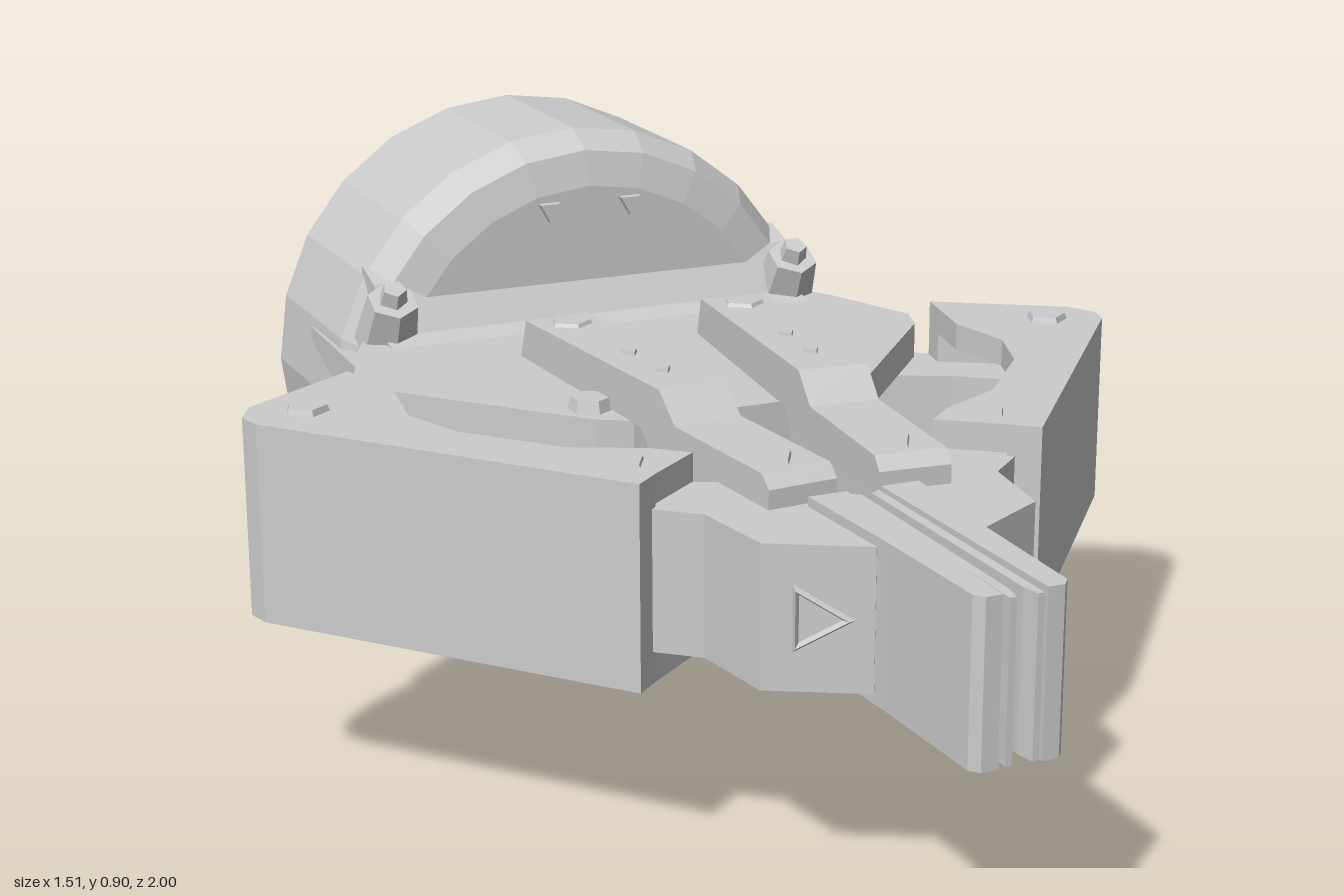
import * as THREE from 'three';

const MID = 0.45; // height of the horizontal symmetry plane
const mat = new THREE.MeshStandardMaterial({ color: 0xcccccc, flatShading: true, side: THREE.DoubleSide });

export function createModel() {
  const root = new THREE.Group();
  root.name = 'gripper';

  const add = (name, geo, parent = root) => {
    const mesh = new THREE.Mesh(geo, mat);
    mesh.name = name;
    parent.add(mesh);
    return mesh;
  };
  // horizontal slab from an [x, z] outline, mirrored in x when s = -1
  const slab = (name, pts, y0, y1, parent, s = 1) => {
    const shape = new THREE.Shape(pts.map(([x, z]) => new THREE.Vector2(x * s, -z)));
    const geo = new THREE.ExtrudeGeometry(shape, { depth: y1 - y0, bevelEnabled: false });
    geo.rotateX(-Math.PI / 2).translate(0, y0, 0);
    return add(name, geo, parent);
  };
  // the same slab above and below the symmetry plane
  const slabPair = (name, pts, lo, hi, parent, s = 1) => {
    slab(name + 'Upper', pts, MID + lo, MID + hi, parent, s);
    slab(name + 'Lower', pts, MID - hi, MID - lo, parent, s);
  };
  const bolt = (name, r, h, sides, x, y, z, parent) => {
    const mesh = add(name, new THREE.CylinderGeometry(r * 0.8, r, h, sides), parent);
    mesh.position.set(x, y, z);
    return mesh;
  };
  const both = (outline) => [...outline, ...outline.map(([x, z]) => [-x, z]).reverse()];

  // round motor housing with rounded front edge and dished back
  const profile = [
    [0, -0.52], [0.36, -0.52], [0.42, -0.535], [0.45, -0.59], [0.45, -0.92],
    [0.435, -0.955], [0.405, -0.955], [0.395, -0.93], [0, -0.945],
  ].map(([r, z]) => new THREE.Vector2(r, z));
  const housing = add('motorHousing', new THREE.LatheGeometry(profile.reverse(), 24).rotateX(Math.PI / 2));
  housing.position.y = MID;

  // flared collar between housing and palm
  const collarProfile = new THREE.Shape([
    [-0.6, -0.24], [-0.535, -0.22], [-0.49, -0.14], [-0.4, -0.12],
    [-0.4, 0.12], [-0.49, 0.14], [-0.535, 0.22], [-0.6, 0.24],
  ].map(([z, y]) => new THREE.Vector2(z, y)));
  const collarGeo = new THREE.ExtrudeGeometry(collarProfile, { depth: 0.78, bevelEnabled: false });
  collarGeo.translate(0, MID, -0.39).rotateY(-Math.PI / 2);
  add('collar', collarGeo);
  slab('collarWaist', both([[0.44, -0.75], [0.45, -0.46], [0.4, -0.36]]), MID - 0.1, MID + 0.1);

  // palm: two plates around a narrower core
  slabPair('palmPlate', both([
    [0.4, -0.56], [0.45, -0.45], [0.51, -0.29], [0.49, -0.23], [0.23, 0.07], [0.18, 0.1],
  ]), 0.07, 0.13);
  slab('palmCore', both([[0.42, -0.56], [0.42, -0.4], [0.32, -0.2], [0.16, 0.07]]), MID - 0.1, MID + 0.1);

  // back connector slot and locating pin
  const frame = new THREE.Group();
  frame.name = 'backSocket';
  for (const s of [-1, 1]) {
    add('socketRail', new THREE.BoxGeometry(0.15, 0.012, 0.03), frame).position.set(0, s * 0.03, 0);
    add('socketEnd', new THREE.BoxGeometry(0.012, 0.06, 0.03), frame).position.set(s * 0.07, 0, 0);
  }
  frame.position.set(0.12, MID, -0.94);
  root.add(frame);
  const pin = bolt('locatingPin', 0.024, 0.08, 6, 0.37, MID, -0.96);
  pin.rotation.x = -Math.PI / 2;

  for (const s of [-1, 1]) {
    const side = new THREE.Group();
    side.name = s > 0 ? 'leftFingerAssembly' : 'rightFingerAssembly';
    root.add(side);

    // rim screws on the back, corner lugs and face screws on the front
    for (const dy of [-0.13, -0.05, 0.05, 0.13]) {
      const screw = bolt('rimScrew', 0.024, 0.03, 5, s * 0.385, MID + dy, -0.945);
      screw.rotation.x = -Math.PI / 2;
    }
    for (const v of [-1, 1]) {
      const lug = bolt('cornerLug', 0.055, 0.1, 6, s * 0.375, MID + v * 0.16, -0.505);
      lug.rotation.x = v > 0 ? 0.5 : Math.PI - 0.5;
      const cap = bolt('lugScrew', 0.026, 0.03, 5, s * 0.375, MID + v * 0.215, -0.477);
      cap.rotation.x = lug.rotation.x;
      const face = bolt('faceScrew', 0.025, 0.012, 3, s * 0.075, MID + v * 0.325, -0.518);
      face.rotation.x = Math.PI / 2;
      bolt('palmScrew', 0.04, 0.03, 6, s * 0.215, MID + v * 0.135, 0.01);
    }

    // driver link from palm to outer arm
    slab('driverLink', [
      [0.36, -0.32], [0.47, -0.31], [0.54, -0.24], [0.71, -0.11], [0.71, -0.05],
      [0.62, -0.02], [0.5, -0.11], [0.36, -0.18],
    ], MID - 0.065, MID + 0.065, side, s);

    // outer arm: channel with flanges and an outer wall
    slabPair('armFlange', [
      [0.53, -0.25], [0.73, -0.12], [0.755, -0.07], [0.745, -0.03], [0.33, 0.475], [0.29, 0.44],
      [0.2, 0.37], [0.25, 0.325], [0.36, 0.27], [0.48, 0.13], [0.52, 0.02], [0.5, -0.1],
    ], 0.115, 0.16, side, s);
    slab('armWall', [
      [0.72, -0.1], [0.755, -0.07], [0.745, -0.03], [0.33, 0.475], [0.29, 0.44], [0.69, -0.04],
    ], MID - 0.16, MID + 0.16, side, s);
    slab('armRearWeb', [[0.53, -0.25], [0.73, -0.12], [0.7, -0.09], [0.52, -0.2]], MID + 0.065, MID + 0.12, side, s);
    slab('armRearWebLower', [[0.53, -0.25], [0.73, -0.12], [0.7, -0.09], [0.52, -0.2]], MID - 0.12, MID - 0.065, side, s);

    // stepped inner bars above and below the palm
    const angle = -0.087 * s;
    for (const v of [-1, 1]) {
      const outline = new THREE.Shape([
        [0, 0.14], [0.02, 0.205], [0.48, 0.205], [0.53, 0.16], [0.79, 0.16], [0.81, 0.14],
        [0.81, 0.1], [0.45, 0.1], [0.42, 0.13],
      ].map(([l, y]) => new THREE.Vector2(l, y * v)));
      const geo = new THREE.ExtrudeGeometry(outline, { depth: 0.115, bevelEnabled: false });
      geo.translate(0, 0, -0.0575).rotateY(-Math.PI / 2).rotateY(angle).translate(s * 0.162, MID, -0.29);
      add(v > 0 ? 'upperBar' : 'lowerBar', geo, side);

      // screws along the bar and on the arm joints
      for (const [l, r, y, n] of [[0.07, 0.04, 0.205, 5], [0.28, 0.018, 0.205, 3], [0.39, 0.018, 0.205, 3], [0.74, 0.035, 0.16, 3]]) {
        bolt('barScrew', r, 0.012, n, s * (0.162 - l * 0.087), MID + v * y, -0.29 + l, side);
      }
      bolt('armRearScrew', 0.04, 0.02, 5, s * 0.655, MID + v * 0.16, -0.065, side);
      bolt('armFrontScrew', 0.03, 0.01, 3, s * 0.3, MID + v * 0.16, 0.38, side);
    }
    slab('barWeb', [[0.07, 0.14], [0.17, 0.13], [0.15, 0.5], [0.04, 0.5]], MID - 0.11, MID + 0.11, side, s);

    // finger: knuckle, tip and gripping pad
    slab('knuckle', [
      [0.06, 0.42], [0.19, 0.36], [0.27, 0.35], [0.32, 0.43], [0.24, 0.5], [0.22, 0.645], [0.08, 0.725], [0.06, 0.7],
    ], MID - 0.11, MID + 0.11, side, s);
    slab('fingerTip', [
      [0.028, 0.53], [0.09, 0.53], [0.078, 0.75], [0.072, 0.98], [0.06, 0.995], [0.034, 0.995],
    ], MID - 0.125, MID + 0.125, side, s);
    slab('gripPad', [[0.008, 0.54], [0.024, 0.53], [0.026, 1], [0.016, 1], [0.01, 0.97]], MID - 0.12, MID + 0.12, side, s);

    // triangular pocket rim on the sloped knuckle face
    const pocket = add('knucklePocket', new THREE.TorusGeometry(0.05, 0.009, 4, 3), side);
    pocket.position.set(s * 0.155, MID, 0.682);
    pocket.rotation.y = s * 0.52;
  }
  return root;
}
